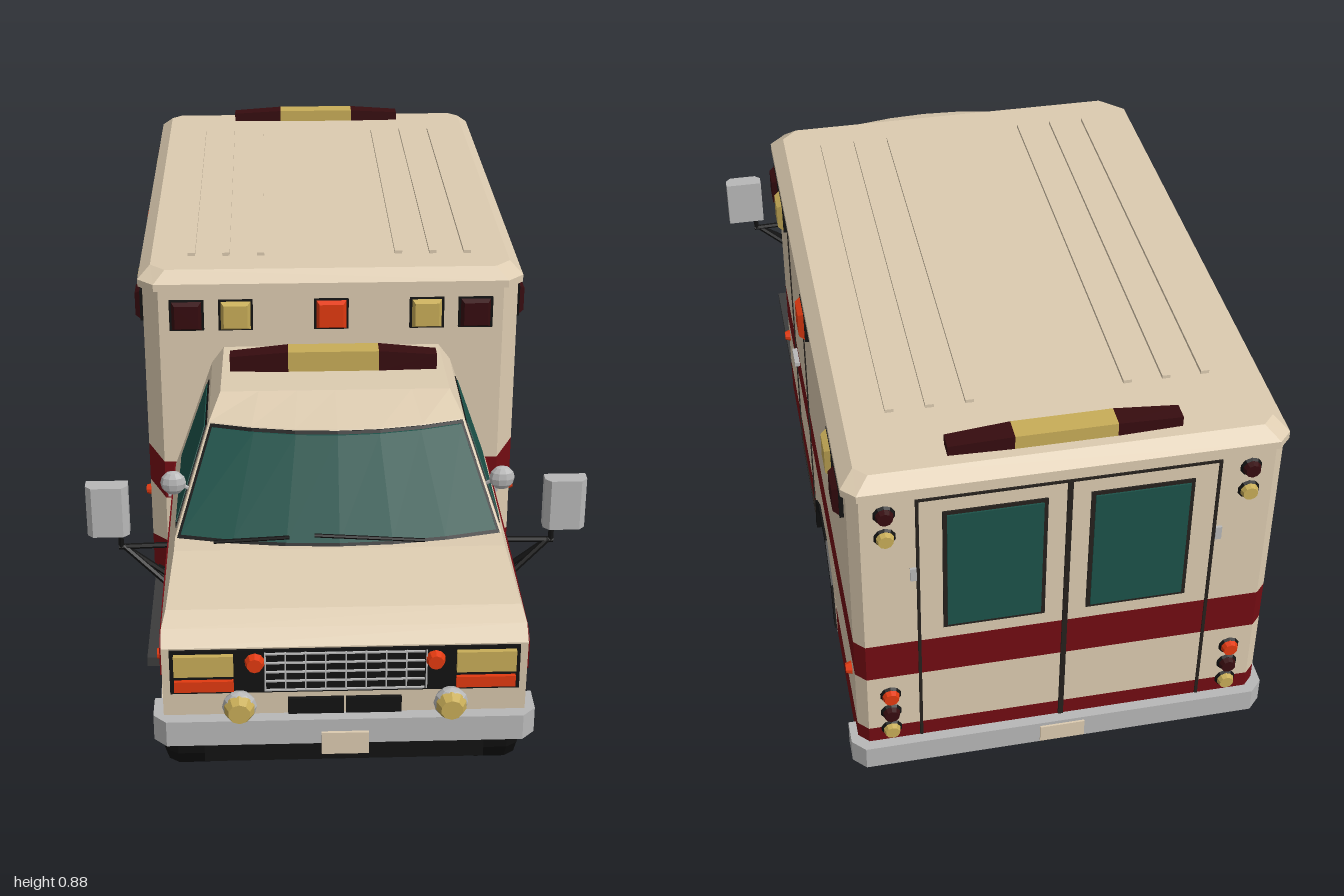
import * as THREE from 'three';

const mat = (color) => new THREE.MeshStandardMaterial({ color, flatShading: true });
const M = {
  cream: mat(0xdccbb0), red: mat(0x720c12), glass: mat(0x1c5249), maroon: mat(0x360c0f), amber: mat(0xc8ad58),
  orange: mat(0xe23a10), chrome: mat(0xb8b8b8), black: mat(0x121212), dark: mat(0x3c3c3c), line: mat(0x25211d),
};

export function createModel() {
  const root = new THREE.Group();
  const add = (name, geo, material, parent = root) => {
    const m = new THREE.Mesh(geo, material);
    m.name = name;
    parent.add(m);
    return m;
  };
  // box given by its limits
  const box = (name, x0, x1, y0, y1, z0, z1, material, parent) =>
    add(name, new THREE.BoxGeometry(x1 - x0, y1 - y0, z1 - z0)
      .translate((x0 + x1) / 2, (y0 + y1) / 2, (z0 + z1) / 2), material, parent);
  const rod = (name, a, b, r, material) => {
    const p = new THREE.Vector3(...a), d = new THREE.Vector3(...b).sub(p);
    const m = add(name, new THREE.CylinderGeometry(r, r, d.length(), 6), material);
    m.position.copy(p).addScaledVector(d, 0.5);
    m.quaternion.setFromUnitVectors(new THREE.Vector3(0, 1, 0), d.normalize());
  };
  // rule that moves the vertices of a geometry
  const warp = (geo, rule) => {
    const p = geo.attributes.position;
    for (let i = 0; i < p.count; i++) p.setXYZ(i, ...rule(p.getX(i), p.getY(i), p.getZ(i)));
    geo.computeVertexNormals();
    return geo;
  };
  const shape = (pts) => new THREE.Shape(pts.map(([a, b]) => new THREE.Vector2(a, b)));
  // side outline (z, y) extruded across the width; half(y) is the half width
  const across = (pts, half, bulge = 0) => warp(
    new THREE.ExtrudeGeometry(shape(pts), { depth: 2, steps: bulge ? 6 : 1, bevelEnabled: false })
      .translate(0, 0, -1).rotateY(-Math.PI / 2),
    (u, y, z) => [u * half(y), y, z + (z > 0.5 ? bulge * (1 - u * u) : 0)]);
  // plan outline with cut corners, extruded upward
  const plan = (w, zBack, zFront, cutBack, cutFront, y0, y1) => new THREE.ExtrudeGeometry(shape([
    [-w, -zFront + cutFront], [-w + cutFront, -zFront], [w - cutFront, -zFront], [w, -zFront + cutFront],
    [w, -zBack - cutBack], [w - cutBack, -zBack], [-w + cutBack, -zBack], [-w, -zBack - cutBack],
  ]), { depth: y1 - y0, bevelEnabled: false }).rotateX(-Math.PI / 2).translate(0, y0, 0);

  // rear box in coloured bands; the stripe drops at the front corners
  const drop = (x, y, z) => [x, z > 0.22 && y > 0.3 && y < 0.44 ? y - 0.03 : y, z];
  const band = (name, y0, y1, zb, zf, cb, cf, m) => add(name, warp(plan(0.405, zb, zf, cb, cf, y0, y1), drop), m);
  band('boxUpper', 0.435, 0.82, -0.98, 0.24, 0.02, 0.035, M.cream);
  band('boxStripe', 0.345, 0.435, -0.98, 0.24, 0.02, 0.035, M.red);
  for (const [zb, zf, cb, cf] of [[-0.28, 0.24, 0.001, 0.035], [-0.98, -0.64, 0.02, 0.001]]) {
    band('boxLower', 0.205, 0.345, zb, zf, cb, cf, M.cream);
    band('boxSkirt', 0.125, 0.205, zb, zf, cb, cf, M.red);
    box('floor', -0.395, 0.395, 0.108, 0.13, zb + 0.01, zf - 0.01, M.black);
  }
  const arch = (s) => [[-0.15, 0], [-0.12, 0.085], [-0.05, 0.135], [0.05, 0.135], [0.12, 0.085], [0.15, 0]]
    .map(([z, y]) => [-0.46 + z * s, 0.125 + y * s]);
  add('rearArchPanel', across([[-0.28, 0.125], [-0.28, 0.345], [-0.64, 0.345], [-0.64, 0.125], ...arch(1.1)], () => 0.405), M.cream);
  add('rearArchTrim', across([...arch(0.97), ...arch(1.12).reverse()], () => 0.409), M.black);
  box('chassis', -0.235, 0.235, 0.105, 0.27, -0.95, 0.92, M.black);

  // box roof with sloped rim and ribs
  add('boxRoofEdge', plan(0.414, -0.988, 0.248, 0.025, 0.035, 0.812, 0.828), M.cream);
  add('boxRoof', warp(plan(0.414, -0.988, 0.248, 0.025, 0.035, 0.828, 0.852),
    (x, y, z) => (y > 0.84 ? [x * 0.935, y, -0.37 + (z + 0.37) * 0.957] : [x, y, z])), M.cream);
  for (const x of [-0.3, -0.225, -0.15, 0.15, 0.225, 0.3]) box('roofRib', x - 0.008, x + 0.008, 0.85, 0.859, -0.8, 0.14, M.cream);

  // cab
  const half = (y) => {
    const k = [[0, 0.345], [0.4, 0.345], [0.445, 0.328], [0.645, 0.258], [0.68, 0.232]];
    const i = Math.max(1, k.findIndex(([h]) => y <= h + 1e-5));
    return THREE.MathUtils.mapLinear(y, k[i - 1][0], k[i][0], k[i - 1][1], k[i][1]);
  };
  const out = (d) => (y) => half(y) + d;
  const wheelArc = (r) => Array.from({ length: 7 }, (_, i) => {
    const a = (157.5 - i * 22.5) * Math.PI / 180;
    return [0.755 + r * Math.cos(a), 0.125 + r * Math.sin(a)];
  });
  add('cabBody', across([[0.945, 0.18], [0.955, 0.375], [0.925, 0.4], [0.24, 0.4], [0.24, 0.18], ...wheelArc(0.148)], half), M.cream);
  add('hood', across([[0.925, 0.4], [0.89, 0.42], [0.71, 0.445], [0.24, 0.445], [0.24, 0.4]], half), M.cream);
  add('cabUpper', across([[0.655, 0.445], [0.54, 0.645], [0.24, 0.645], [0.24, 0.445]], half, 0.045), M.cream);
  add('cabRoof', across([[0.54, 0.645], [0.46, 0.675], [0.24, 0.68], [0.24, 0.645]], half, 0.045), M.cream);
  add('cabStripe', across([[0.95, 0.315], [0.95, 0.375], [0.925, 0.39], [0.7, 0.4], [0.24, 0.4], [0.24, 0.315]], out(0.003)), M.red);
  add('archFlare', across([...wheelArc(0.141), ...wheelArc(0.158).reverse()], () => 0.352), M.cream);
  add('archLiner', across([...wheelArc(0.133), ...wheelArc(0.142).reverse()], () => 0.342), M.black);

  // cab glass, each pane over a slightly larger black seal
  add('windshieldSeal', across([[0.655, 0.445], [0.658, 0.445], [0.543, 0.643], [0.54, 0.643]], out(-0.004), 0.045), M.black);
  add('windshield', across([[0.65, 0.452], [0.657, 0.452], [0.5505, 0.637], [0.5435, 0.637]], out(-0.009), 0.045), M.glass);
  add('sideWindowSeal', across([[0.622, 0.448], [0.525, 0.632], [0.303, 0.632], [0.303, 0.448]], out(0.002)), M.black);
  add('sideWindow', across([[0.61, 0.455], [0.52, 0.625], [0.31, 0.625], [0.31, 0.455]], out(0.004)), M.glass);
  rod('wiper', [-0.25, 0.45, 0.685], [-0.1, 0.464, 0.697], 0.004, M.black);
  rod('wiper', [-0.05, 0.468, 0.698], [0.17, 0.45, 0.693], 0.004, M.black);

  // sills, bumpers, plates
  box('sill', -0.335, 0.335, 0.12, 0.185, 0.23, 0.6, M.black);
  box('runningBoard', -0.4, 0.4, 0.105, 0.126, 0.23, 0.6, M.dark);
  add('frontBumper', plan(0.365, 0.89, 0.972, 0.001, 0.025, 0.168, 0.222), M.chrome);
  box('frontValance', -0.27, 0.27, 0.108, 0.18, 0.88, 0.94, M.black);
  add('rearBumper', plan(0.42, -1, -0.925, 0.025, 0.001, 0.115, 0.168), M.chrome);
  box('frontPlate', -0.045, 0.045, 0.147, 0.195, 0.97, 0.978, M.cream);
  box('rearPlate', -0.045, 0.045, 0.12, 0.16, -1.004, -0.998, M.cream);

  // grille and front lamps
  box('grillePanel', -0.33, 0.33, 0.278, 0.372, 0.94, 0.96, M.black);
  for (let i = 0; i <= 8; i++) box('grilleBar', -0.152 + i * 0.038, -0.149 + i * 0.038, 0.283, 0.367, 0.958, 0.964, M.chrome);
  for (let i = 0; i <= 4; i++) box('grilleBar', -0.15, 0.15, 0.283 + i * 0.02, 0.286 + i * 0.02, 0.958, 0.964, M.chrome);
  for (const x of [-0.055, 0.055]) box('lowerVent', x - 0.053, x + 0.053, 0.226, 0.26, 0.94, 0.957, M.black);

  // lamps face +z and are then turned to their wall
  const roundLamp = (name, x, y, z, turn, r, m, h = 0.014) => {
    const l = add(name, new THREE.CylinderGeometry(r * 0.7, r, h, 10).rotateX(Math.PI / 2), m);
    l.position.set(x, y, z);
    l.rotation.y = turn;
  };
  const squareLamp = (x, z, turn, m) => {
    const g = new THREE.Group();
    g.name = 'warningLight';
    box('lightFrame', -0.037, 0.037, -0.034, 0.034, -0.005, 0.008, M.black, g);
    const lens = new THREE.CylinderGeometry(0.036, 0.046, 0.012, 4).rotateY(Math.PI / 4).rotateX(Math.PI / 2);
    add('lightLens', lens, m, g).position.z = 0.013;
    g.position.set(x, 0.756, z);
    g.rotation.y = turn;
    root.add(g);
  };
  squareLamp(0, 0.24, 0, M.orange);

  // tyre and hub turned about the axle, outer face toward +x
  const turned = (pts, n) => new THREE.LatheGeometry(pts.map(([r, h]) => new THREE.Vector2(r, h)), n).rotateZ(-Math.PI / 2);
  const wheel = (name, s, x, z, front) => {
    const g = new THREE.Group();
    g.name = name;
    const tyre = (o) => add('tyre', turned([[0, o - 0.06], [0.095, o - 0.06], [0.118, o - 0.05], [0.127, o - 0.03], [0.127, o + 0.03],
      [0.118, o + 0.05], [0.095, o + 0.06], [0.075, o + 0.056], [0.07, o + 0.035], [0, o + 0.035]], 16), M.black, g);
    tyre(0);
    if (front) {
      add('rim', new THREE.TorusGeometry(0.069, 0.009, 4, 16).rotateY(Math.PI / 2).translate(0.054, 0, 0), M.chrome, g);
      for (let i = 0; i < 5; i++) {
        add('spoke', new THREE.BoxGeometry(0.014, 0.055, 0.034).translate(0.046, 0.042, 0).rotateX(i * Math.PI * 0.4), M.chrome, g);
      }
      add('hubCap', turned([[0.034, 0.03], [0.03, 0.058], [0.018, 0.064], [0, 0.064]], 10), M.chrome, g);
    } else {
      tyre(-0.13);
      add('rim', turned([[0.088, 0.05], [0.084, 0.062], [0.072, 0.058], [0.068, 0.045], [0, 0.045]], 16), M.dark, g);
      add('hubCap', turned([[0.062, 0.04], [0.058, 0.054], [0.035, 0.062], [0, 0.064]], 14), M.chrome, g);
    }
    g.position.set(s * x, 0.127, z);
    if (s < 0) g.rotation.y = Math.PI;
    root.add(g);
  };

  // everything that repeats left and right
  for (const s of [-1, 1]) {
    const side = s * Math.PI / 2;
    const lim = (a, b) => (s > 0 ? [a, b] : [-b, -a]);
    wheel('frontWheel', s, 0.295, 0.755, true);
    wheel('rearWheel', s, 0.325, -0.46, false);
    box('headlight', ...lim(0.21, 0.322), 0.321, 0.365, 0.95, 0.97, M.amber);
    box('turnSignal', ...lim(0.21, 0.322), 0.286, 0.309, 0.95, 0.968, M.orange);
    roundLamp('grilleLight', s * 0.17, 0.346, 0.965, 0, 0.021, M.orange, 0.02);
    const fog = add('fogLight', new THREE.SphereGeometry(0.033, 10, 6), M.chrome);
    fog.position.set(s * 0.2, 0.256, 0.972);
    fog.scale.z = 0.7;
    roundLamp('fogLens', s * 0.2, 0.256, 0.991, 0, 0.03, M.amber, 0.018);

    // warning lights and markers
    squareLamp(s * 0.31, 0.24, 0, M.maroon);
    squareLamp(s * 0.205, 0.24, 0, M.amber);
    for (const [z, m] of [[0.148, M.maroon], [0.045, M.amber], [-0.358, M.orange], [-0.78, M.amber], [-0.885, M.maroon]]) squareLamp(s * 0.405, z, side, m);
    for (const [x, z] of [[0.352, 0.86], [0.41, 0.178], [0.41, -0.905]]) roundLamp('sideMarker', s * x, 0.305, z, side, 0.014, M.orange);
    for (const [y, m] of [[0.77, M.maroon], [0.715, M.amber], [0.295, M.orange], [0.247, M.maroon], [0.2, M.amber]]) {
      roundLamp('rearLampRing', s * 0.34, y, -0.98, Math.PI, 0.025, M.black, 0.01);
      roundLamp('rearLamp', s * 0.34, y, -0.986, Math.PI, 0.02, m, 0.018);
    }

    // rear doors
    box('rearWindowSeal', ...lim(0.04, 0.235), 0.465, 0.76, -0.983, -0.97, M.line);
    box('rearWindow', ...lim(0.048, 0.227), 0.473, 0.752, -0.986, -0.97, M.glass);
    box('rearDoorGap', ...lim(0.278, 0.284), 0.17, 0.795, -0.983, -0.97, M.line);
    box('rearDoorHinge', ...lim(0.284, 0.296), 0.6, 0.63, -0.985, -0.97, M.chrome);

    // mirrors on struts
    const mirror = add('sideMirror', plan(0.043, -0.018, 0.018, 0.001, 0.012, -0.056, 0.056), M.chrome);
    mirror.position.set(s * 0.469, 0.46, 0.56);
    rod('mirrorStrut', [s * 0.335, 0.375, 0.56], [s * 0.45, 0.372, 0.56], 0.006, M.black);
    rod('mirrorStrut', [s * 0.342, 0.29, 0.59], [s * 0.44, 0.374, 0.56], 0.006, M.black);
    rod('mirrorStrut', [s * 0.342, 0.29, 0.55], [s * 0.44, 0.374, 0.56], 0.006, M.black);
    rod('mirrorPost', [s * 0.445, 0.37, 0.56], [s * 0.445, 0.42, 0.56], 0.006, M.black);
    const spot = add('roundMirror', new THREE.SphereGeometry(0.026, 10, 6), M.chrome);
    spot.position.set(s * 0.33, 0.545, 0.61);
    spot.scale.z = 0.6;
    rod('roundMirrorArm', [s * 0.33, 0.545, 0.6], [s * 0.295, 0.515, 0.585], 0.004, M.chrome);
    box('cabDoorHandle', ...lim(0.345, 0.357), 0.383, 0.393, 0.315, 0.365, M.chrome);
  }
  box('rearDoorSplit', -0.005, 0.005, 0.17, 0.795, -0.984, -0.97, M.line);
  box('rearDoorTop', -0.284, 0.284, 0.792, 0.797, -0.983, -0.97, M.line);

  // side door on one side, window on the other
  for (const z of [-0.01, -0.27]) box('sideDoorGap', 0.4, 0.4075, 0.13, 0.795, z - 0.003, z + 0.003, M.line);
  for (const y of [0.13, 0.792]) box('sideDoorGap', 0.4, 0.4075, y, y + 0.005, -0.27, -0.01, M.line);
  box('sideDoorHandle', 0.4, 0.416, 0.415, 0.425, -0.085, -0.03, M.chrome);
  box('boxWindowSeal', -0.4075, -0.4, 0.452, 0.735, -0.18, 0.035, M.line);
  box('boxWindow', -0.41, -0.4, 0.46, 0.727, -0.172, 0.027, M.glass);

  // light bars on both roofs
  for (const [y, z, h, d] of [[0.678, 0.35, 0.044, 0.044], [0.85, -0.92, 0.03, 0.044]]) {
    add('lightBarCenter', new THREE.BoxGeometry(0.19, h, d), M.amber).position.set(0, y + h / 2, z);
    for (const s of [-1, 1]) {
      const end = warp(new THREE.BoxGeometry(0.122, h, d).toNonIndexed(),
        (x, v, w) => [x, x * s > 0 && v > 0 ? v * 0.5 : v, x * s > 0 ? w * 0.8 : w]);
      add('lightBarEnd', end, M.maroon).position.set(s * 0.156, y + h / 2, z);
    }
  }
  return root;
}
